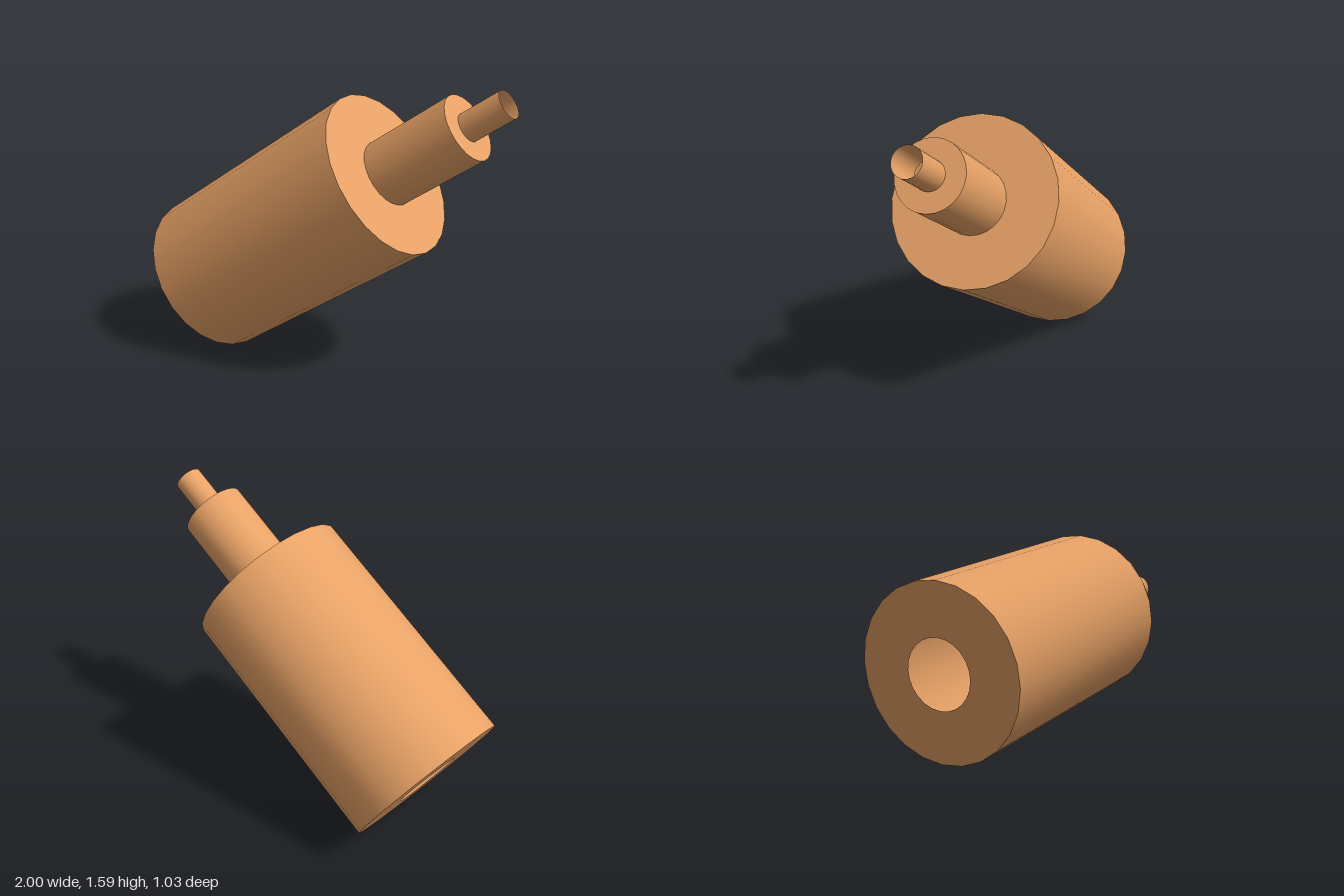
import * as THREE from 'three';
import { toCreasedNormals } from 'three/addons/utils/BufferGeometryUtils.js';

const SIDES = 24;

export function createModel() {
  const model = new THREE.Group();
  const material = new THREE.MeshStandardMaterial({ color: 0xe8a266, side: THREE.DoubleSide });

  // Thin-walled stepped shaft, turned about its own axis
  const shaft = new THREE.Group();
  shaft.name = 'steppedShaft';
  const turned = (name, profile) => {
    const points = profile.map(([r, y]) => new THREE.Vector2(r, y));
    const mesh = new THREE.Mesh(toCreasedNormals(new THREE.LatheGeometry(points, SIDES), 0.6), material);
    mesh.name = name;
    shaft.add(mesh);
  };

  const [bodyR, neckR, tipR] = [0.44, 0.175, 0.075];
  const [bodyTop, neckTop, tipTop] = [1.342, 1.847, 2.083];
  // Body with a round opening in its base and a shoulder at the top
  turned('body', [[neckR, 0], [bodyR, 0], [bodyR, bodyTop], [neckR, bodyTop]]);
  // Neck with its shoulder
  turned('neck', [[neckR, bodyTop], [neckR, neckTop], [tipR, neckTop]]);
  // Open tip
  turned('tip', [[tipR, neckTop], [tipR, tipTop]]);

  // Lean the shaft from the base centre along its axis
  const axis = new THREE.Vector3(0.819, 0.562, 0.121).normalize();
  shaft.quaternion.setFromUnitVectors(new THREE.Vector3(0, 1, 0), axis);
  shaft.position.set(-0.75, 0.365, -0.083);
  model.add(shaft);
  return model;
}
